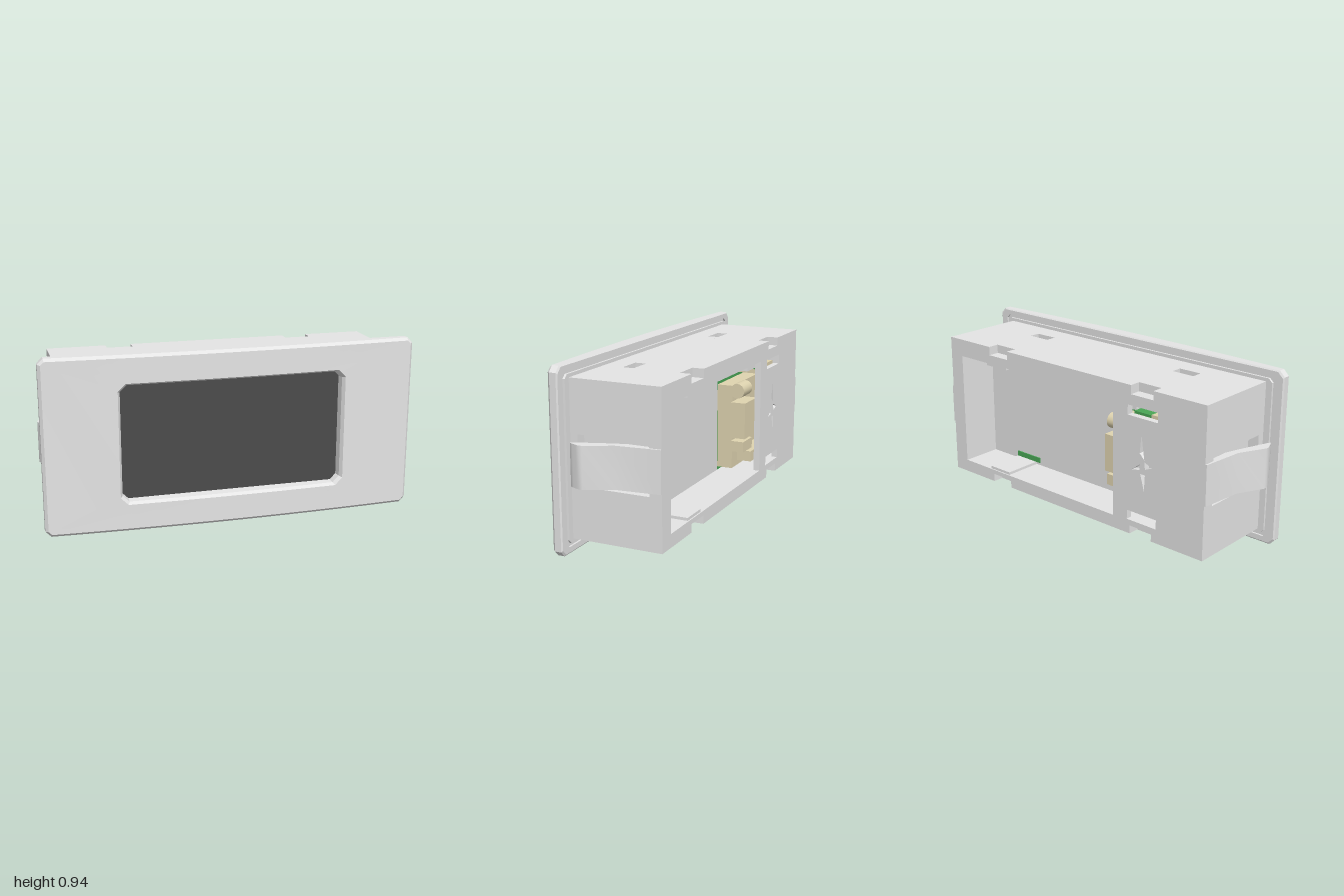
import * as THREE from 'three';
import { toCreasedNormals } from 'three/addons/utils/BufferGeometryUtils.js';

const mat = (name, color) => {
  const m = new THREE.MeshStandardMaterial({ color });
  m.name = name;
  return m;
};

export function createModel() {
  const group = new THREE.Group();
  const grey = mat('grey plastic', 0xe4e4e4);
  const dark = mat('dark screen', 0x4b4b4b);
  const green = mat('green board', 0x4aa656);
  const tan = mat('tan connector', 0xdfd4b0);

  const add = (name, geo, material = grey) => {
    const mesh = new THREE.Mesh(geo, material);
    mesh.name = name;
    group.add(mesh);
    return mesh;
  };
  // box given by its limits on each axis
  const box = (name, x0, x1, y0, y1, z0, z1, material) =>
    add(name, new THREE.BoxGeometry(x1 - x0, y1 - y0, z1 - z0)
      .translate((x0 + x1) / 2, (y0 + y1) / 2, (z0 + z1) / 2), material);
  const points = list => list.map(([x, y]) => new THREE.Vector2(x, y));
  const rect = (x0, x1, y0, y1) => [[x0, y0], [x1, y0], [x1, y1], [x0, y1]];
  const extrude = (outline, holes, depth) => {
    const shape = new THREE.Shape(points(outline));
    holes.forEach(h => shape.holes.push(new THREE.Path(points(h))));
    return new THREE.ExtrudeGeometry(shape, { depth, bevelEnabled: false });
  };
  // outline in x and z, raised between two heights
  const slab = (name, outline, holes, y0, y1) =>
    add(name, extrude(outline, holes, y1 - y0).rotateX(Math.PI / 2).translate(0, y1, 0));

  // Bezel: rounded rectangular rings, bowed across the front
  const MID = 0.47, SEG = 14;
  const bow = x => 0.288 - 0.03 * x * x;
  const ring = (w, h, c, z) => {
    const corners = [
      [w, -h + c], [w, h - c], [w - c, h], [-w + c, h],
      [-w, h - c], [-w, -h + c], [-w + c, -h], [w - c, -h],
    ];
    const out = [];
    corners.forEach((a, i) => {
      const b = corners[(i + 1) % 8];
      const n = i % 4 === 2 ? SEG : 1;
      for (let k = 0; k < n; k++) {
        const x = a[0] + (b[0] - a[0]) * k / n, y = a[1] + (b[1] - a[1]) * k / n;
        out.push([x, y + MID, z(x)]);
      }
    });
    return out;
  };
  const flat = z => () => z;
  const rings = [
    ring(0.59, 0.307, 0.03, flat(0.2)),
    ring(0.935, 0.42, 0.02, flat(0.2)),
    ring(0.935, 0.42, 0.02, flat(0.212)),
    ring(0.95, 0.435, 0.02, flat(0.212)),
    ring(0.95, 0.435, 0.02, flat(0.202)),
    ring(0.993, 0.463, 0.03, flat(0.202)),
    ring(1, 0.47, 0.03, flat(0.208)),
    ring(1, 0.47, 0.03, x => bow(x) - 0.015),
    ring(0.985, 0.455, 0.018, bow),
    ring(0.61, 0.323, 0.04, bow),
    ring(0.597, 0.312, 0.035, x => bow(x) - 0.02),
    ring(0.59, 0.307, 0.03, flat(0.2)),
  ];
  const pos = [];
  for (let r = 0; r < rings.length - 1; r++) {
    const a = rings[r], b = rings[r + 1], n = a.length;
    for (let i = 0; i < n; i++) {
      const j = (i + 1) % n;
      pos.push(...a[i], ...a[j], ...b[j], ...a[i], ...b[j], ...b[i]);
    }
  }
  const bezel = new THREE.BufferGeometry();
  bezel.setAttribute('position', new THREE.Float32BufferAttribute(pos, 3));
  add('bezel', toCreasedNormals(bezel, 0.3));
  box('screen', -0.6, 0.6, 0.155, 0.785, 0.205, 0.218, dark);

  // Housing top and bottom walls: latch windows, and notches in the rear edge
  const B = -0.287, F = 0.202;
  const notched = [
    [-0.81, B], [-0.58, B], [-0.58, -0.225], [-0.44, -0.225], [-0.44, B],
    [0.44, B], [0.44, -0.225], [0.58, -0.225], [0.58, B], [0.81, B],
    [0.81, F], [-0.81, F],
  ];
  const windows = [rect(-0.58, -0.45, 0.03, 0.09), rect(0.445, 0.575, 0.03, 0.09)];
  slab('topWall', notched, windows, 0.825, 0.872);
  slab('topWallLining', rect(-0.81, 0.81, B, F), windows, 0.775, 0.825);
  slab('bottomWall', notched, windows, 0.07, 0.115);
  slab('bottomWallLining', rect(-0.81, 0.81, B, F), windows, 0.115, 0.14);

  for (const s of [-1, 1]) {
    // Side wall with a recess behind the spring clip
    const side = extrude(rect(-F, -B, 0.07, 0.872), [rect(-0.16, 0.222, 0.342, 0.6)], 0.06);
    side.rotateY(Math.PI / 2).translate(s > 0 ? 0.84 : -0.9, 0, 0);
    add('sideWall', side);
    box('sideWallLining', s * 0.825 - 0.015, s * 0.825 + 0.015, 0.07, 0.872, B, F);

    // Spring clip with a rounded tip
    const clip = [
      [0.88, B], [0.908, B], [0.93, -0.06], [0.998, 0.08], [1, 0.098], [0.992, 0.118],
      [0.984, 0.138], [0.976, 0.155], [0.97, 0.16], [0.962, 0.145], [0.9, -0.03], [0.88, -0.1],
    ].map(([x, z]) => [s * x, z]);
    const spring = slab('springClip', clip, [], 0.363, 0.578);
    spring.geometry = toCreasedNormals(spring.geometry, 0.5);

    // Hooks inside the latch windows
    const hook = [[0.455, 0.035], [0.565, 0.035], [0.55, 0.08], [0.47, 0.08]]
      .map(([x, z]) => [s * x, z]);
    slab('topHook', hook, [], 0.76, 0.85);
    slab('bottomHook', hook, [], 0.09, 0.155);
  }

  // Rear cover over one end, with two slots and a shallow splintered vent
  const vents = [
    [[-0.51, 0.63], [-0.53, 0.5], [-0.5, 0.53]],
    [[-0.53, 0.49], [-0.58, 0.47], [-0.535, 0.45]],
    [[-0.5, 0.47], [-0.45, 0.43], [-0.5, 0.44]],
    [[-0.535, 0.42], [-0.53, 0.33], [-0.505, 0.42]],
  ];
  add('rearCover', extrude(rect(-0.81, -0.325, 0.14, 0.775), [
    rect(-0.61, -0.42, 0.715, 0.768), rect(-0.61, -0.42, 0.147, 0.198), ...vents,
  ], 0.035).translate(0, 0, B));
  box('ventBacking', -0.6, -0.43, 0.3, 0.65, -0.255, -0.245);

  // Back of the display inside the open bay, and the board beside it
  box('displayBack', -0.24, 0.81, 0.14, 0.775, -0.06, -0.03);
  box('circuitBoard', -0.81, -0.24, 0.14, 0.775, -0.06, -0.03, green);

  // Latch tongues in the open bay, each with a strip of board showing
  for (const [y0, y1, g0, g1] of [[0.14, 0.155, 0.155, 0.185], [0.76, 0.775, 0.735, 0.76]]) {
    box('latchTongue', 0.46, 0.61, y0, y1, -0.28, -0.06);
    box('boardStrip', 0.43, 0.61, g0, g1, -0.066, -0.06, green);
  }

  // Connector blocks behind the rear cover
  box('connectorBase', -0.7, -0.245, 0.16, 0.64, -0.15, -0.06, tan);
  box('connectorBlock', -0.4, -0.225, 0.345, 0.55, -0.235, -0.15, tan);
  box('lowerConnector', -0.72, -0.32, 0.19, 0.25, -0.235, -0.15, tan);
  box('lowerTab', -0.36, -0.23, 0.265, 0.325, -0.225, -0.15, tan);
  box('upperConnector', -0.64, -0.53, 0.66, 0.725, -0.235, -0.06, tan);
  box('upperBoard', -0.53, -0.42, 0.708, 0.722, -0.235, -0.06, green);
  box('upperBracket', -0.42, -0.29, 0.72, 0.775, -0.22, -0.1);
  add('terminalPost', new THREE.CylinderGeometry(0.042, 0.042, 0.12, 16)
    .rotateZ(Math.PI / 2).translate(-0.29, 0.615, -0.185), tan);

  return group;
}
